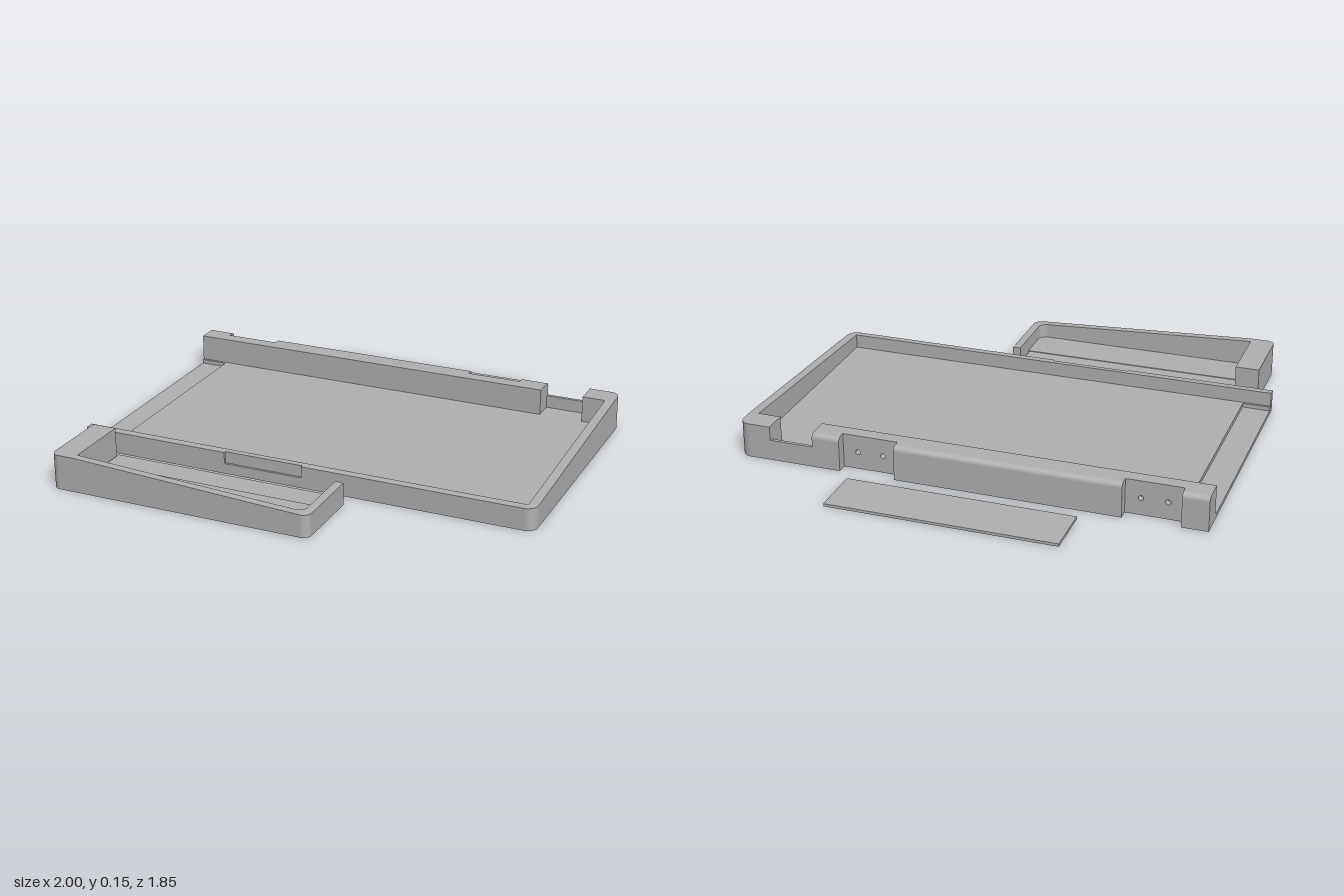
import * as THREE from 'three';

const grey = new THREE.MeshStandardMaterial({ color: 0xb0b0b0 });
grey.name = 'plain grey';

// Plan outline from [x, z, cornerRadius] points
function outline(points) {
  const s = new THREE.Shape();
  const n = points.length;
  points.forEach(([x, z, r = 0], i) => {
    const p = new THREE.Vector2(x, -z);
    const toward = (q) => new THREE.Vector2(q[0], -q[1]).sub(p).setLength(r).add(p);
    const a = r ? toward(points[(i + n - 1) % n]) : p;
    if (i === 0) s.moveTo(a.x, a.y); else s.lineTo(a.x, a.y);
    if (r) {
      const b = toward(points[(i + 1) % n]);
      const k = 0.55;
      const c1 = a.clone().lerp(p, k), c2 = b.clone().lerp(p, k);
      s.bezierCurveTo(c1.x, c1.y, c2.x, c2.y, b.x, b.y);
    }
  });
  s.closePath();
  return s;
}

// Upright prism over a plan outline; top may be a height or a function of (x, z)
function prism(parent, name, points, y0, top) {
  const geo = new THREE.ExtrudeGeometry(outline(points), { depth: 1, bevelEnabled: false, curveSegments: 8 });
  geo.rotateX(-Math.PI / 2);
  const pos = geo.attributes.position;
  for (let i = 0; i < pos.count; i++) {
    const t = typeof top === 'function' ? top(pos.getX(i), pos.getZ(i)) : top;
    pos.setY(i, pos.getY(i) > 0.5 ? t : y0);
  }
  geo.computeVertexNormals();
  return add(parent, name, geo);
}

function add(parent, name, geo) {
  const m = new THREE.Mesh(geo, grey);
  m.name = name;
  parent.add(m);
  return m;
}

const rect = (x0, x1, z0, z1) => [[x0, z0], [x0, z1], [x1, z1], [x1, z0]];

const FLOOR = 0.035, LOW = 0.017, HIGH = 0.15, FRONT = 0.095;
const BACK = -0.63, RECESS = -0.585, INNER = -0.525;

// Length of back wall with its outer top edge rounded
function backWall(parent, x0, x1) {
  const r = 0.022;
  const s = new THREE.Shape();
  s.moveTo(-INNER, 0);
  s.lineTo(-BACK, 0);
  s.lineTo(-BACK, HIGH - r);
  s.absarc(-BACK - r, HIGH - r, r, 0, Math.PI / 2, false);
  s.lineTo(-INNER, HIGH);
  s.closePath();
  const geo = new THREE.ExtrudeGeometry(s, { depth: x1 - x0, bevelEnabled: false, curveSegments: 6 });
  geo.rotateY(Math.PI / 2);
  geo.translate(x0, 0, 0);
  add(parent, 'backWall', geo);
}

// Recessed hinge seat with two blind screw holes
function hingeSeat(parent, x0, x1) {
  const depth = 0.03, mid = (x0 + x1) / 2;
  const s = new THREE.Shape();
  s.moveTo(x0, 0);
  s.lineTo(x1, 0);
  s.lineTo(x1, HIGH);
  s.lineTo(x0, HIGH);
  s.closePath();
  for (const dx of [-0.055, 0.055]) {
    const h = new THREE.Path();
    h.absarc(mid + dx, 0.075, 0.011, 0, Math.PI * 2, true);
    s.holes.push(h);
  }
  const geo = new THREE.ExtrudeGeometry(s, { depth, bevelEnabled: false, curveSegments: 10 });
  geo.translate(0, 0, RECESS);
  add(parent, 'hingeSeat', geo);
  prism(parent, 'hingeBacking', rect(x0, x1, RECESS + depth, INNER), 0, HIGH);
}

function buildTray() {
  const tray = new THREE.Group();
  tray.name = 'mainTray';

  // Floor, with a lower joint shelf along the open end
  prism(tray, 'floor', rect(-0.88, 0.97, INNER, 0.49), 0, FLOOR);
  prism(tray, 'jointShelf', rect(-1, -0.88, -0.515, 0.475), 0, LOW);
  prism(tray, 'shelfEdgeBack', rect(-1, -0.88, INNER, -0.515), 0, FLOOR);
  prism(tray, 'shelfEdgeFront', rect(-1, -0.88, 0.475, 0.485), 0, FLOOR);

  // Sloping front and side wall, with a shallow latch notch in the front
  const slope = (x, z) => THREE.MathUtils.mapLinear(z, 0.52, INNER, FRONT, HIGH);
  const inside = [[1, INNER], [0.96, INNER], [0.96, 0.485], [-1, 0.485]];
  prism(tray, 'lowerRim', [[-1, 0.52], [1, 0.52, 0.045], ...inside], 0, 0.045);
  prism(tray, 'upperRim', [[-1, 0.52], [-0.345, 0.52], [-0.345, 0.51], [0.005, 0.51], [0.005, 0.52],
    [1, 0.52, 0.045], ...inside], 0.045, slope);

  // Back wall, hinge seats and cable gap
  for (const [a, b] of [[-1, -0.89], [-0.65, 0.31], [0.55, 0.67]]) backWall(tray, a, b);
  hingeSeat(tray, -0.89, -0.65);
  hingeSeat(tray, 0.31, 0.55);
  prism(tray, 'gapFloor', rect(0.67, 0.86, -0.615, INNER), 0, FLOOR);
  prism(tray, 'gapLip', rect(0.67, 0.86, BACK, -0.615), 0, 0.09);
  prism(tray, 'cornerBlock', [[0.86, BACK], [0.86, INNER], [1, INNER], [1, BACK, 0.045]], 0, HIGH);
  return tray;
}

function buildEndPiece() {
  const end = new THREE.Group();
  end.name = 'endPiece';
  const z0 = 0.592, z1 = 0.925;
  const slope = (x) => THREE.MathUtils.mapLinear(x, -0.815, 0.225, HIGH, FRONT);

  // Tall block, sloping rim, floor and thin joint tongue
  prism(end, 'tallBlock', [[-0.92, z0], [-0.92, z1, 0.035], [-0.815, z1], [-0.815, z0]], 0, HIGH);
  prism(end, 'slopingRim', [[-0.815, z1], [0.225, z1, 0.035], [0.225, z0], [0.19, z0],
    [0.19, 0.89, 0.035], [-0.815, 0.89]], 0, slope);
  prism(end, 'endFloor', rect(-0.82, 0.2, 0.71, 0.9), 0, FLOOR);
  prism(end, 'jointTongue', rect(-0.805, 0.185, z0, 0.715), LOW, 0.032);
  return end;
}

export function createModel() {
  const model = new THREE.Group();
  model.name = 'trayKit';
  model.add(buildTray(), buildEndPiece());

  // Loose cover plate behind the tray
  prism(model, 'coverPlate', rect(-0.49, 0.487, -0.928, -0.7), 0, 0.012);
  return model;
}
